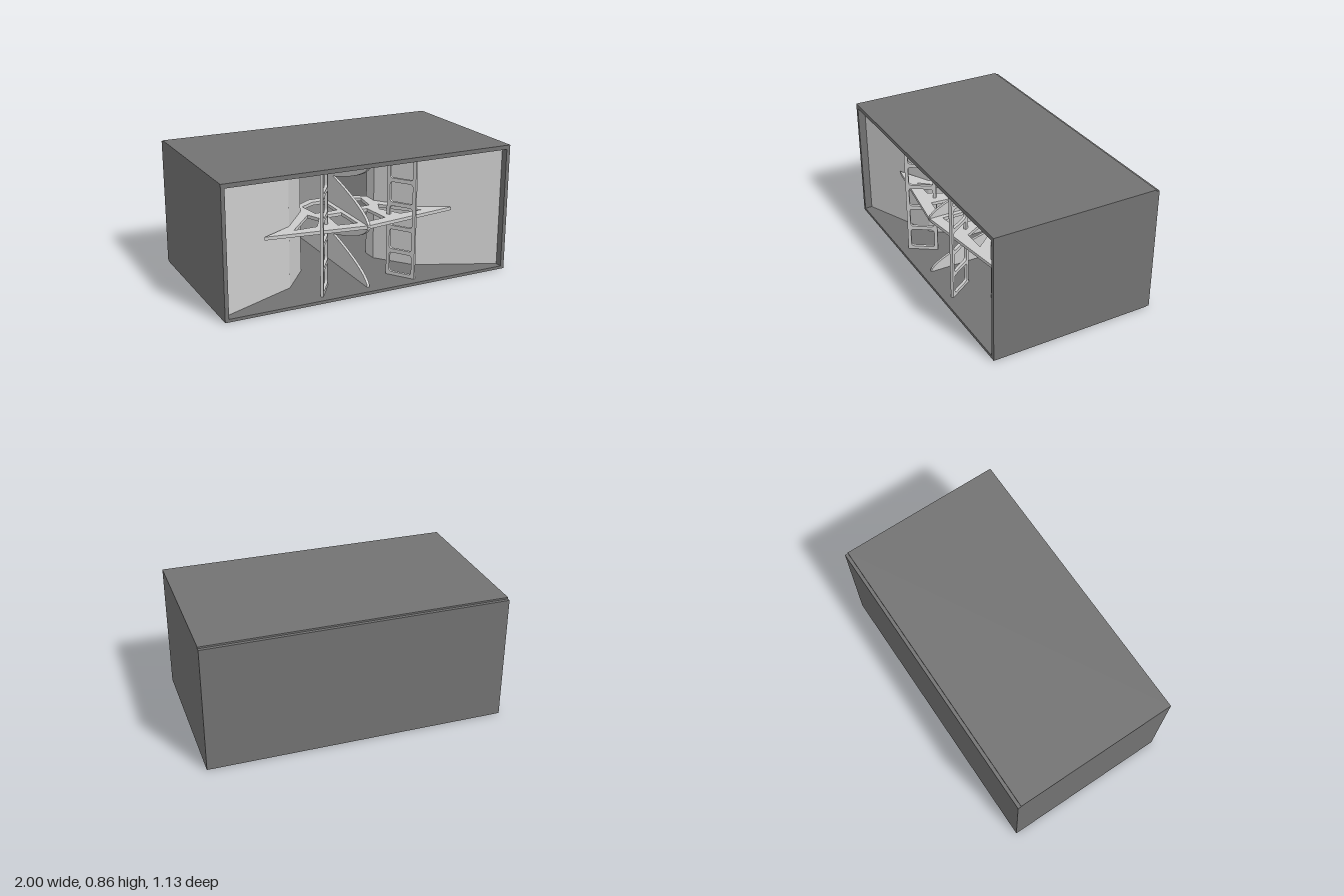
import * as THREE from 'three';

const FRONT = 0.567, FLOOR = 0.02, CEILING = 0.835;
const inside = new THREE.MeshStandardMaterial({ color: 0xcccccc });
const shell = new THREE.MeshStandardMaterial({ color: 0x727272 });

const shapeOf = (pts) => new THREE.Shape(pts.map(([a, b]) => new THREE.Vector2(a, b)));
const extrude = (shape, depth) =>
  new THREE.ExtrudeGeometry(shape, { depth, bevelEnabled: false, curveSegments: 4 });

// Rectangle with rounded corners, as a hole
function roundedHole(x, y, w, h, r) {
  const p = new THREE.Path();
  p.moveTo(x + r, y);
  p.lineTo(x + w - r, y).quadraticCurveTo(x + w, y, x + w, y + r);
  p.lineTo(x + w, y + h - r).quadraticCurveTo(x + w, y + h, x + w - r, y + h);
  p.lineTo(x + r, y + h).quadraticCurveTo(x, y + h, x, y + h - r);
  p.lineTo(x, y + r).quadraticCurveTo(x, y, x + r, y);
  return p;
}

export function createModel() {
  const model = new THREE.Group();
  model.name = 'hornCabinet';

  function add(name, geometry, material) {
    const mesh = new THREE.Mesh(geometry, material);
    mesh.name = name;
    model.add(mesh);
    return mesh;
  }

  function board(name, x0, x1, y0, y1, z0, z1) {
    add(name, new THREE.BoxGeometry(x1 - x0, y1 - y0, z1 - z0), shell)
      .position.set((x0 + x1) / 2, (y0 + y1) / 2, (z0 + z1) / 2);
  }

  // Plan shapes are drawn as (x, depth behind the front) and raised from y
  function planPart(name, shape, y, height) {
    const g = extrude(shape, height).rotateX(-Math.PI / 2).translate(0, y, FRONT);
    return add(name, g, inside);
  }

  // Outer case, open at the front
  board('bottomPanel', -1, 1, 0, FLOOR, -0.545, FRONT);
  board('topPanel', -1, 1, CEILING, 0.863, -0.545, FRONT);
  board('backPanel', -1, 1, 0.003, 0.852, -0.567, -0.545);
  board('rightPanel', -1, -0.975, FLOOR, CEILING, -0.545, FRONT);
  board('leftPanel', 0.975, 1, FLOOR, CEILING, -0.545, FRONT);

  for (const [side, s] of [['left', 1], ['right', -1]]) {
    // Folded horn wall: shallow flare, steep flare, straight throat
    const wall = [
      [0.975, 0.05], [0.457, 0.28], [0.273, 0.516], [0.273, 0.624],
      [0.293, 0.624], [0.293, 0.522], [0.47, 0.298], [0.975, 0.073],
    ];
    planPart(side + 'HornWall', shapeOf(wall.map(([x, d]) => [s * x, d])), FLOOR, CEILING - FLOOR);

    // Upright brace with five windows, set at an angle
    const width = Math.hypot(0.115, 0.17);
    const brace = shapeOf([[0, FLOOR], [width, FLOOR], [width, CEILING], [0, CEILING]]);
    for (let i = 0; i < 5; i++) {
      brace.holes.push(roundedHole(0.022, 0.043 + i * 0.161, width - 0.044, 0.135, 0.02));
    }
    const g = extrude(brace, 0.02).translate(0, 0, -0.01)
      .rotateY(Math.atan2(0.17, -s * 0.115))
      .translate(s * 0.335, 0, FRONT - 0.06);
    add(side + 'WindowBrace', g, inside);
  }

  // Level brace across the horn, with openings either side of the centre
  const half = [[0.67, 0.165], [0.457, 0.28], [0.273, 0.516], [0.273, 0.624], [0.12, 0.72]];
  const level = shapeOf([[0, 0.07], ...half, ...half.map(([x, d]) => [-x, d]).reverse()]);
  const openings = [
    [[0.04, 0.15], [0.17, 0.17], [0.15, 0.38], [0.04, 0.38]],
    [[0.04, 0.44], [0.2, 0.44], [0.22, 0.6], [0.12, 0.66], [0.04, 0.66]],
    [[0.3, 0.2], [0.46, 0.2], [0.39, 0.28], [0.26, 0.43], [0.22, 0.34]],
  ];
  for (const s of [1, -1]) {
    for (const o of openings) {
      level.holes.push(new THREE.Path(o.map(([x, d]) => new THREE.Vector2(s * x, d))));
    }
  }
  planPart('levelBrace', level, 0.415, 0.022);

  // Centre divider whose front edge has two slots that narrow towards the back
  const edge = [];
  for (const base of [FLOOR, 0.4275]) {
    const h = 0.2037;
    for (let i = -10; i <= 10; i++) {
      const t = 1 - Math.abs(i) / 10;
      edge.push([0.068 + 0.5 * Math.pow(t, 1.8), base + h + Math.sign(i) * h * (1 - t)]);
    }
    if (base === FLOOR) edge.pop();
  }
  const divider = shapeOf([...edge, [1.11, CEILING], [1.11, FLOOR]]);
  add('centreDivider', extrude(divider, 0.018).rotateY(Math.PI / 2).translate(-0.009, 0, FRONT), inside);

  return model;
}
